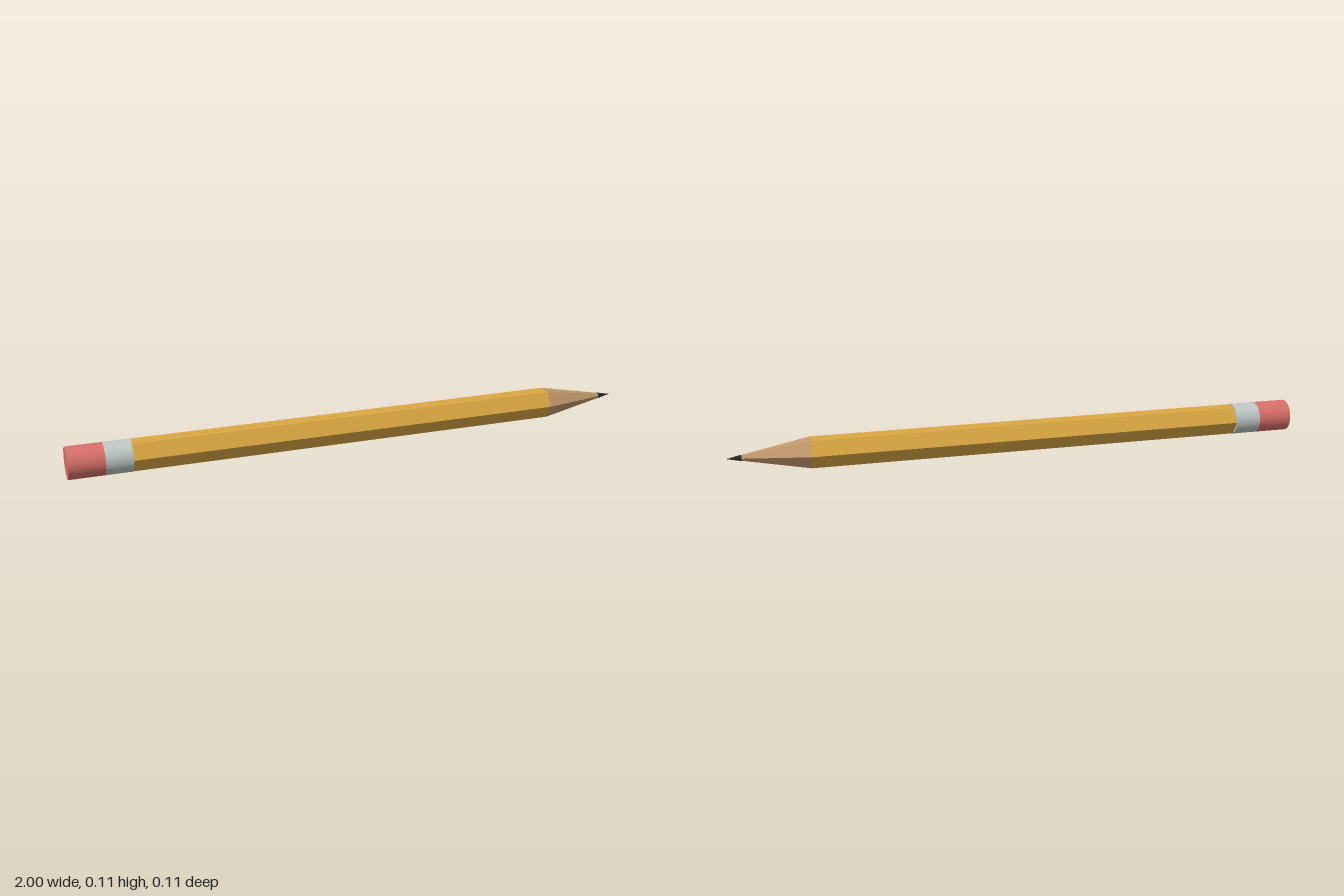
import * as THREE from 'three';

const R = 0.0545; // shared radius of barrel, ferrule and eraser

export function createModel() {
  const pencil = new THREE.Group();
  pencil.name = 'pencil';

  // One section along x, from x0 (radius r0) to x1 (radius r1)
  function section(name, color, x0, x1, r0, r1, sides, open = false) {
    const geometry = new THREE.CylinderGeometry(r1, r0, x1 - x0, sides, 1, open);
    geometry.rotateZ(-Math.PI / 2);
    const material = new THREE.MeshStandardMaterial({ color, flatShading: sides === 6 });
    if (open) material.side = THREE.DoubleSide;
    const mesh = new THREE.Mesh(geometry, material);
    mesh.name = name;
    mesh.position.set((x0 + x1) / 2, R, 0);
    pencil.add(mesh);
  }

  // Round end: eraser held by a metal ferrule
  section('eraser', 0xd9706a, -1, -0.88, R, R, 32);
  section('ferrule', 0xc0c8c8, -0.88, -0.79, R, R, 32);

  // Hexagonal painted barrel and sharpened wood, corners pointing to +z and -z
  section('barrel', 0xdba843, -0.79, 0.725, R, R, 6);
  section('sharpenedWood', 0xc49a6c, 0.725, 0.95, R, 0.0099, 6, true);

  // Round graphite point
  section('leadTip', 0x2a2a2a, 0.95, 1, 0.0105, 0, 24);

  return pencil;
}
